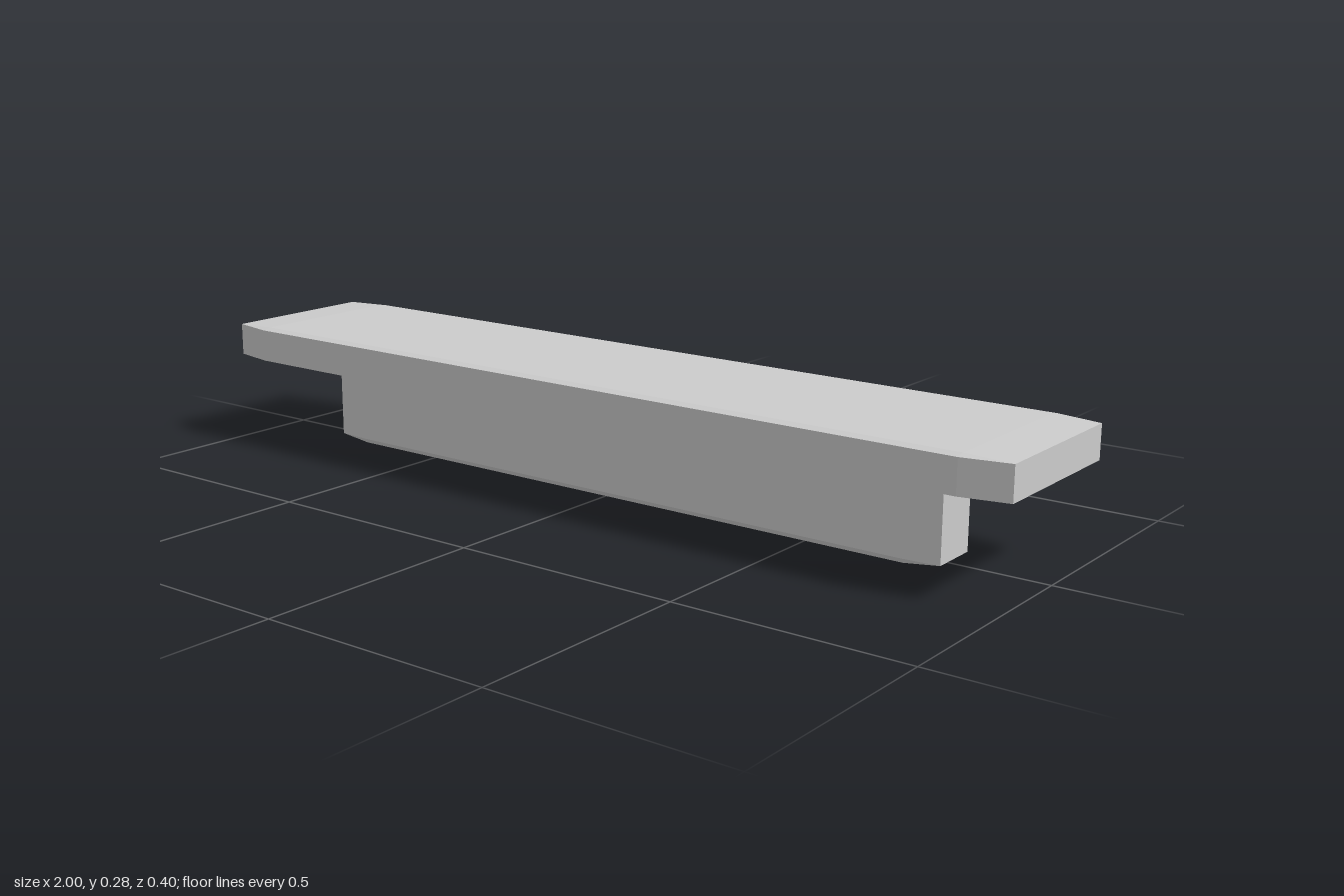
import * as THREE from 'three';
import { ConvexGeometry } from 'three/addons/geometries/ConvexGeometry.js';

const material = new THREE.MeshStandardMaterial({ color: 0xcccccc, flatShading: true });

// Unit cube with chamfered edges and corners, stretched so the chamfer follows each side's length
function chamferedBlock(name, width, height, depth, bottom) {
  const inset = 0.9;
  const points = [];
  for (const x of [-1, 1]) for (const y of [-1, 1]) for (const z of [-1, 1]) {
    points.push(
      new THREE.Vector3(x, y * inset, z * inset),
      new THREE.Vector3(x * inset, y, z * inset),
      new THREE.Vector3(x * inset, y * inset, z),
    );
  }
  const geometry = new ConvexGeometry(points);
  geometry.scale(width / 2, height / 2, depth / 2);
  geometry.computeVertexNormals();
  const mesh = new THREE.Mesh(geometry, material);
  mesh.name = name;
  mesh.position.y = bottom + height / 2;
  return mesh;
}

export function createModel() {
  const group = new THREE.Group();
  group.name = 'ledge';
  // Narrow rail below, its top edge sunk slightly into the plate
  group.add(chamferedBlock('supportRail', 1.6, 0.2, 0.12, 0));
  // Wide flat plate on top
  group.add(chamferedBlock('topPlate', 2, 0.08, 0.4, 0.195));
  return group;
}
